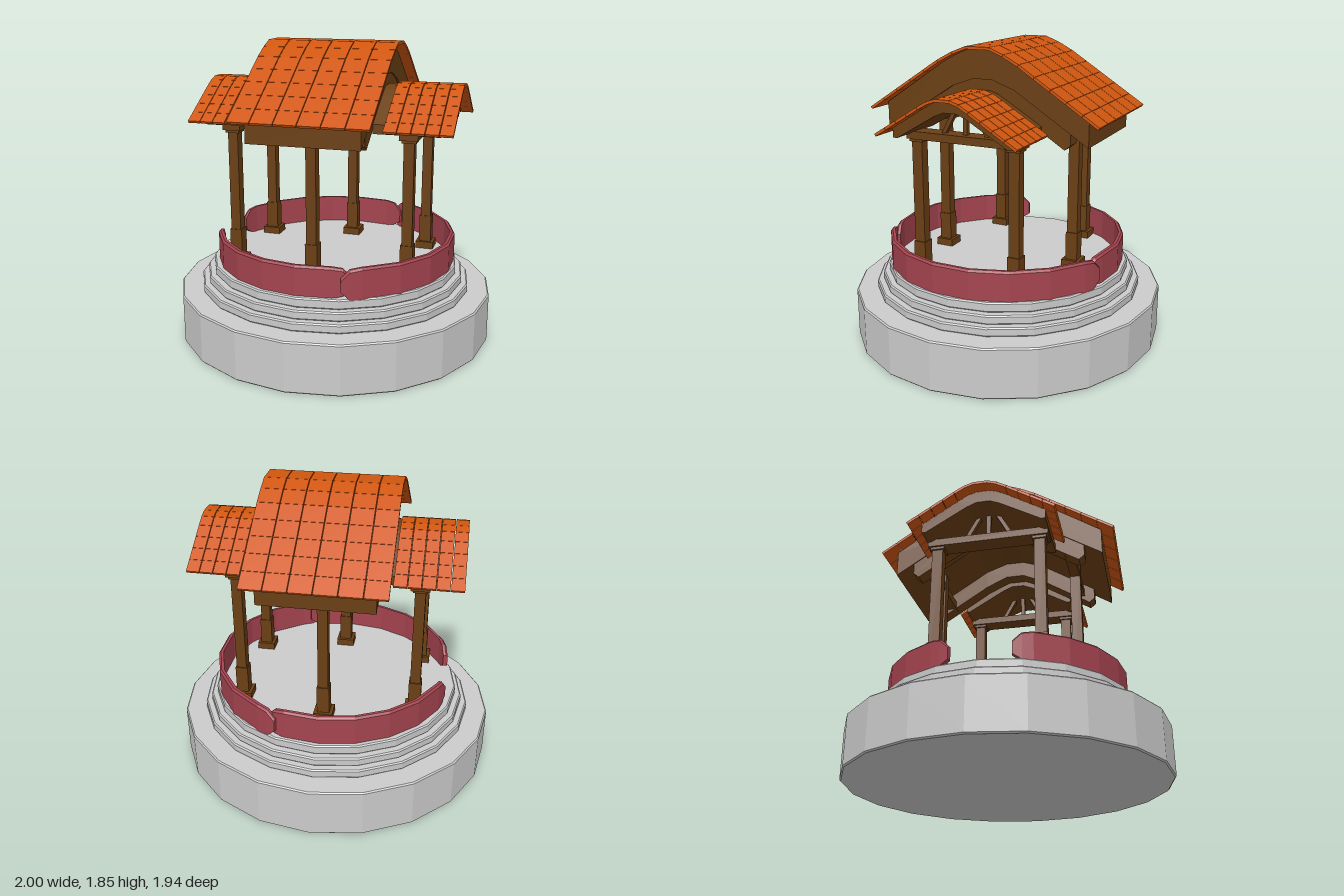
import * as THREE from 'three';

const mat = (color) => new THREE.MeshStandardMaterial({ color, flatShading: true, roughness: 0.9 });
const DEG = Math.PI / 180;

export function createModel() {
  const model = new THREE.Group();
  const stone = mat(0xcccccc), wood = mat(0x6b3f14), clay = mat(0xd0560f), red = mat(0xa5444f);

  const add = (name, geometry, material, x = 0, y = 0, z = 0, parent = model) => {
    const mesh = new THREE.Mesh(geometry, material);
    mesh.name = name;
    mesh.position.set(x, y, z);
    parent.add(mesh);
    return mesh;
  };
  const box = (name, w, h, d, x, y, z) => add(name, new THREE.BoxGeometry(w, h, d), wood, x, y, z);

  // Full left-to-right outline from half a profile of [z, y] points, starting at the ridge
  const mirrored = (half) => [
    ...half.filter((p) => p[0] > 0).map(([z, y]) => [-z, y]).reverse(),
    ...half,
  ];

  // Solid arched timber between an upper and a lower profile, running from x0 to x1
  const vault = (name, upper, lower, x0, x1) => {
    const outline = [...mirrored(upper), ...mirrored(lower).reverse()];
    const shape = new THREE.Shape(outline.map(([z, y]) => new THREE.Vector2(z, y)));
    const g = new THREE.ExtrudeGeometry(shape, { depth: x1 - x0, bevelEnabled: false });
    g.rotateY(Math.PI / 2);
    add(name, g, wood, x0);
  };

  // Rows and columns of thin tiles laid along a roof profile
  const tiles = (name, half, rows, x0, x1, columns) => {
    const group = new THREE.Group();
    group.name = name;
    model.add(group);
    const pts = mirrored(half), thick = 0.016, gap = 0.004, w = (x1 - x0) / columns;
    for (let i = 0; i < pts.length - 1; i++) {
      const [z0, y0] = pts[i], [z1, y1] = pts[i + 1];
      const dz = z1 - z0, dy = y1 - y0, len = Math.hypot(dz, dy), n = rows(len);
      const g = new THREE.BoxGeometry(w - gap, thick, len / n - gap / 2);
      for (let r = 0; r < n; r++) {
        const t = (r + 0.5) / n;
        for (let c = 0; c < columns; c++) {
          const tile = add('roofTile', g, clay, x0 + (c + 0.5) * w,
            y0 + dy * t - (dz / len) * thick / 2, z0 + dz * t + (dy / len) * thick / 2, group);
          tile.rotation.x = Math.atan2(-dy, dz);
        }
      }
    }
  };

  // Curved wall panel with clipped ends, swept from a0 to a1 degrees
  const wallPanel = (name, a0, a1, radius, bottom) => {
    const top = 0.66, ends = [[0, 0.52, 0.6], [4, bottom + 0.015, 0.65], [9, bottom, top]];
    const columns = ends.map(([d, b, t]) => [a0 + d, b, t]);
    const span = a1 - a0 - 18, n = Math.round(span / 18);
    for (let i = 1; i < n; i++) columns.push([a0 + 9 + (span * i) / n, bottom, top]);
    columns.push(...ends.map(([d, b, t]) => [a1 - d, b, t]).reverse());
    const pos = [], index = [];
    for (const [a, b, t] of columns) {
      for (const [r, y] of [[radius - 0.03, b], [radius, b], [radius, t - 0.012], [radius - 0.012, t], [radius - 0.03, t]])
        pos.push(r * Math.cos(a * DEG), y, -r * Math.sin(a * DEG) * 0.985);
    }
    const K = 5, last = (columns.length - 1) * K;
    for (let i = 0; i < columns.length - 1; i++) {
      for (let j = 0; j < K; j++) {
        const p = i * K + j, q = i * K + ((j + 1) % K);
        index.push(p, p + K, q + K, p, q + K, q);
      }
    }
    for (let j = 1; j < K - 1; j++) index.push(0, j, j + 1, last, last + j + 1, last + j);
    let g = new THREE.BufferGeometry();
    g.setAttribute('position', new THREE.Float32BufferAttribute(pos, 3));
    g.setIndex(index);
    g = g.toNonIndexed();
    g.computeVertexNormals();
    add(name, g, red);
  };

  // Stepped stone platform: [radius, bottom, top]
  const steps = [[1, 0, 0.31], [0.865, 0.31, 0.365], [0.825, 0.365, 0.42], [0.785, 0.42, 0.48]];
  steps.forEach(([r, y0, y1], i) => {
    const b = 0.008, profile = [[0, y0], [r - b, y0], [r, y0 + b], [r, y1 - b], [r - b, y1], [0, y1]];
    const g = new THREE.LatheGeometry(profile.map(([x, y]) => new THREE.Vector2(x, y)), 20);
    add(i ? 'platformStep' : 'platformBase', g, stone).scale.z = 0.972;
  });

  // Low wall around the platform, open on the right side
  wallPanel('backWall', 66, 166, 0.745, 0.475);
  wallPanel('frontWall', 194, 294, 0.745, 0.475);
  wallPanel('sideWall', -71, 71, 0.767, 0.457);

  // Posts with plinths
  for (const s of [-1, 1]) {
    for (const [x, z, top] of [[-0.54, 0.31, 1.34], [0, 0.45, 1.46], [0.54, 0.31, 1.34]]) {
      box('post', 0.062, top - 0.48, 0.066, x, (top + 0.48) / 2, s * z);
      box('postPlinth', 0.115, 0.045, 0.115, x, 0.5025, s * z);
      box('postFoot', 0.076, 0.18, 0.076, x, 0.61, s * z);
    }
  }

  // Tie beams with king post and leaning struts under the side roofs
  for (const x of [-0.54, 0.54]) {
    box('tieBeam', 0.11, 0.046, 0.73, x, 1.352, 0);
    for (const s of [-1, 1]) {
      box('postCapital', 0.085, 0.02, 0.085, x, 1.322, s * 0.31);
      box('strut', 0.03, 0.17, 0.024, x, 1.445, s * 0.1).rotation.x = -s * 0.5;
    }
    box('kingPost', 0.03, 0.17, 0.026, x, 1.45, 0);
  }
  // Plates carried by the middle posts
  for (const s of [-1, 1]) box('wallPlate', 0.6, 0.05, 0.06, 0, 1.37, s * 0.45);

  // Large middle roof
  const bigTop = [[0.075, 1.85], [0.165, 1.815], [0.26, 1.765], [0.74, 1.455]];
  tiles('mainRoofTiles', bigTop, (l) => (l > 0.3 ? 5 : 1), -0.4, 0.412, 6);
  vault('mainRoofFrame',
    [[0.075, 1.834], [0.16, 1.8], [0.255, 1.749], [0.655, 1.483]],
    [[0.06, 1.66], [0.2, 1.61], [0.655, 1.32]], -0.327, 0.343);
  for (const x of [-0.275, 0.29]) {
    vault('rafter', [[0.06, 1.67], [0.2, 1.62], [0.545, 1.395]],
      [[0.06, 1.555], [0.2, 1.49], [0.51, 1.293], [0.545, 1.322]], x - 0.045, x + 0.045);
  }

  // Smaller side roofs
  const smallTop = [[0.045, 1.612], [0.1, 1.594], [0.16, 1.56], [0.44, 1.388]];
  for (const [t0, t1, f0, f1] of [[-0.787, -0.39, -0.705, -0.32], [0.405, 0.803, 0.335, 0.72]]) {
    tiles('sideRoofTiles', smallTop, (l) => (l > 0.2 ? 4 : 1), t0, t1, 5);
    vault('sideRoofFrame',
      [[0.045, 1.597], [0.098, 1.579], [0.155, 1.546], [0.37, 1.415]],
      [[0.04, 1.525], [0.1, 1.5], [0.345, 1.358], [0.37, 1.36]], f0, f1);
  }
  return model;
}
